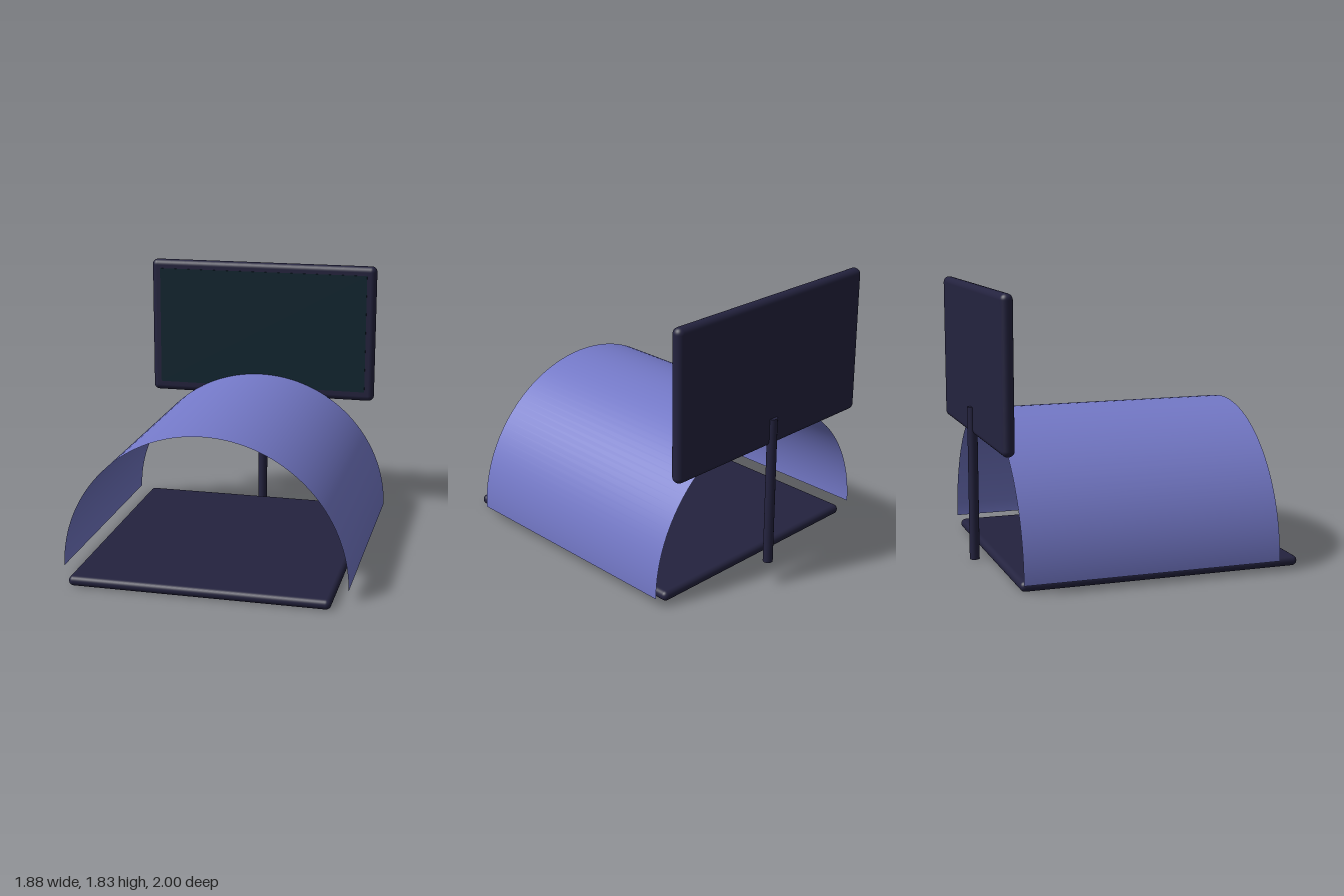
import * as THREE from 'three';
import { RoundedBoxGeometry } from 'three/addons/geometries/RoundedBoxGeometry.js';

export function createModel() {
  const model = new THREE.Group();

  const material = (name, color, side = THREE.FrontSide) => {
    const m = new THREE.MeshStandardMaterial({ color, side });
    m.name = name;
    return m;
  };
  const darkFrame = material('dark frame', 0x24233f);
  const darkGlass = material('dark glass', 0x0f2530);
  const violetShell = material('violet shell', 0x7479c8, THREE.DoubleSide);

  const add = (name, geometry, mat, x, y, z) => {
    const mesh = new THREE.Mesh(geometry, mat);
    mesh.name = name;
    mesh.position.set(x, y, z);
    model.add(mesh);
    return mesh;
  };

  // Floor slab with rounded edges
  add('base', new RoundedBoxGeometry(1.706, 0.067, 1.875, 5, 0.033), darkFrame, 0, 0.0335, 0.0625);

  // Open half-cylinder canopy running front to back
  const arch = new THREE.CylinderGeometry(0.938, 0.938, 1.705, 64, 1, true, Math.PI / 2, Math.PI);
  arch.rotateX(Math.PI / 2);
  add('canopy', arch, violetShell, 0, 0.07, -0.0265);

  // Pole behind the slab, carrying the screen
  add('pole', new THREE.CylinderGeometry(0.033, 0.033, 1.03, 24), darkFrame, 0, 0.515, -0.967);

  // Screen housing and its thin glass panel
  add('screenFrame', new RoundedBoxGeometry(1.67, 0.99, 0.082, 5, 0.04), darkFrame, 0, 1.336, -0.932);
  add('screenPanel', new THREE.BoxGeometry(1.538, 0.856, 0.006), darkGlass, 0, 1.339, -0.8905);

  return model;
}
